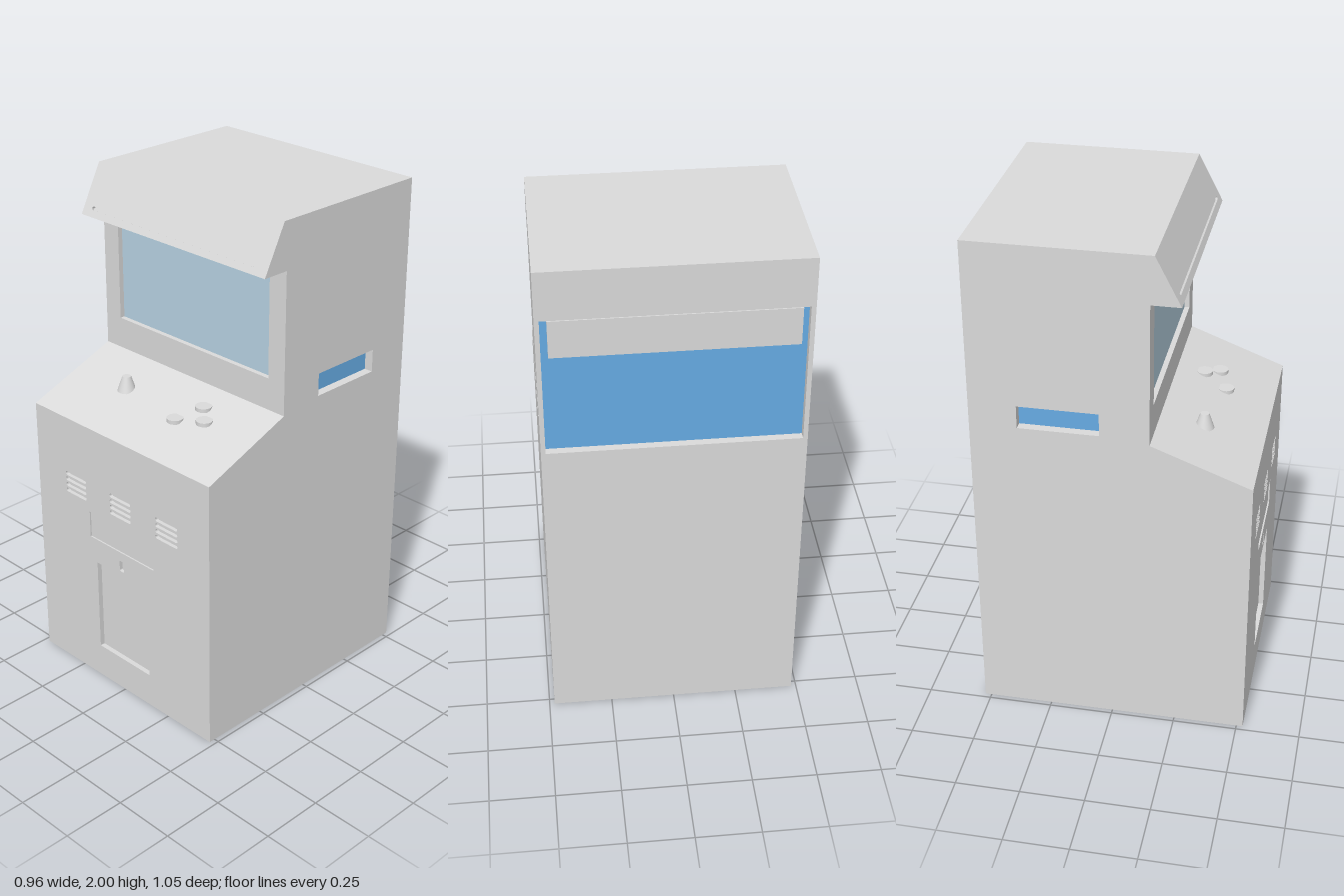
import * as THREE from 'three';

const grey = new THREE.MeshStandardMaterial({ color: 0xdadada, side: THREE.DoubleSide });
grey.name = 'cabinetGrey';
const blue = new THREE.MeshStandardMaterial({ color: 0x66abe3 });
blue.name = 'panelBlue';
const glass = new THREE.MeshStandardMaterial({ color: 0xb7d2e2 });
glass.name = 'screenGlass';

const WIDTH = 0.96;

// Cabinet outline as [z, y], starting at the bottom front
const PROFILE = [
  [0.525, 0], [0.525, 1.11], [0.145, 1.255], [0.145, 1.815],
  [0.255, 1.815], [0.16, 2], [-0.525, 2], [-0.525, 0],
];

function add(parent, name, geometry, material, x = 0, y = 0, z = 0) {
  const mesh = new THREE.Mesh(geometry, material);
  mesh.name = name;
  mesh.position.set(x, y, z);
  parent.add(mesh);
  return mesh;
}

// Rectangle outline, with rounded corners when r > 0
function rectPoints(x, y, w, h, r = 0) {
  const points = [];
  [[1, 1], [-1, 1], [-1, -1], [1, -1]].forEach(([sx, sy], i) => {
    const cx = x + sx * (w / 2 - r), cy = y + sy * (h / 2 - r);
    const steps = r > 0 ? 4 : 0;
    for (let k = 0; k <= steps; k++) {
      const a = (i + (steps ? k / steps : 0)) * Math.PI / 2;
      points.push(new THREE.Vector2(cx + r * Math.cos(a), cy + r * Math.sin(a)));
    }
  });
  return points;
}

// Inner walls of a recess, from the surface to its floor
function recessWalls(points, depth) {
  const pos = [];
  points.forEach((a, i) => {
    const b = points[(i + 1) % points.length];
    pos.push(a.x, a.y, 0, a.x, a.y, -depth, b.x, b.y, -depth);
    pos.push(a.x, a.y, 0, b.x, b.y, -depth, b.x, b.y, 0);
  });
  const g = new THREE.BufferGeometry();
  g.setAttribute('position', new THREE.Float32BufferAttribute(pos, 3));
  g.computeVertexNormals();
  return g;
}

// Flat panel facing local +z, cut by recesses with walls and floors
function panel(name, outline, recesses = []) {
  const group = new THREE.Group();
  group.name = name;
  const shape = new THREE.Shape(outline);
  for (const { part, rect, r, depth, floor = grey } of recesses) {
    const points = rectPoints(...rect, r);
    shape.holes.push(new THREE.Path(points));
    add(group, part + 'Walls', recessWalls(points, depth), grey);
    add(group, part, new THREE.ShapeGeometry(new THREE.Shape(points)), floor, 0, 0, -depth);
  }
  add(group, name + 'Surface', new THREE.ShapeGeometry(shape), grey);
  return group;
}

export function createModel() {
  const model = new THREE.Group();
  model.name = 'arcadeCabinet';

  // Lower front: door, keyhole, coin panel and three vent grilles
  const front = [
    { part: 'door', rect: [0, 0.335 - 0.555, 0.29, 0.39], depth: 0.02 },
    { part: 'keySlot', rect: [0, 0.573 - 0.555, 0.025, 0.045], r: 0.005, depth: 0.015 },
    { part: 'coinPanel', rect: [0, 0.69 - 0.555, 0.36, 0.11], depth: 0.006 },
  ];
  for (const x of [-0.255, 0, 0.255]) {
    for (let i = 0; i < 4; i++) {
      front.push({ part: 'vent', rect: [x, 0.793 + i * 0.0245 - 0.555, 0.118, 0.016], r: 0.0075, depth: 0.015 });
    }
  }

  // Panels that follow the outline, in order
  const faces = [
    ['frontPanel', front],
    ['controlDeck', []],
    ['screenPanel', [{ part: 'screen', rect: [0, 1.585 - 1.535, 0.8, 0.41], depth: 0.02, floor: glass }]],
    ['marqueeUnderside', []],
    ['marquee', [{ part: 'marqueeGroove', rect: [0, -0.07, 0.87, 0.014], r: 0.006, depth: 0.01 }]],
    ['topPanel', []],
    ['backPanel', [{ part: 'backRecess', rect: [0, 1 - 1.533, 0.926, 0.555], depth: 0.03, floor: blue }]],
    ['bottomFrame', [{ part: 'baseCavity', rect: [0, 0, 0.8, 0.89], depth: 0.9 }]],
  ];
  faces.forEach(([name, recesses], i) => {
    const [z0, y0] = PROFILE[i], [z1, y1] = PROFILE[(i + 1) % PROFILE.length];
    const length = Math.hypot(z1 - z0, y1 - y0);
    const face = panel(name, rectPoints(0, 0, WIDTH, length), recesses);
    face.rotation.x = Math.atan2(z1 - z0, y1 - y0);
    face.position.set(0, (y0 + y1) / 2, (z0 + z1) / 2);
    model.add(face);
  });

  // Sides with recessed hand grips
  for (const s of [-1, 1]) {
    const outline = PROFILE.map(([z, y]) => new THREE.Vector2(-s * z, y));
    const side = panel(s > 0 ? 'leftSide' : 'rightSide', outline, [
      { part: 'handGrip', rect: [s * 0.1925, 1.32, 0.305, 0.09], depth: 0.035, floor: blue },
    ]);
    side.rotation.y = s * Math.PI / 2;
    side.position.x = s * WIDTH / 2;
    model.add(side);
  }

  // Cover strip in the back recess
  add(model, 'backCover', new THREE.BoxGeometry(0.875, 0.147, 0.02), grey, 0, 1.7335, -0.514);

  // Cross boards inside the base
  for (const z of [0.12, -0.2]) {
    add(model, 'crossBoard', new THREE.BoxGeometry(0.8, 0.87, 0.02), grey, 0, 0.465, z);
  }

  // Joystick and buttons on the control deck
  add(model, 'joystick', new THREE.CylinderGeometry(0.017, 0.037, 0.06, 32), grey, -0.195, 1.216, 0.302);
  for (const [x, y, z] of [[0.113, 1.183, 0.34], [0.228, 1.199, 0.3], [0.17, 1.219, 0.247]]) {
    add(model, 'button', new THREE.CylinderGeometry(0.032, 0.032, 0.015, 32), grey, x, y, z);
  }

  return model;
}
